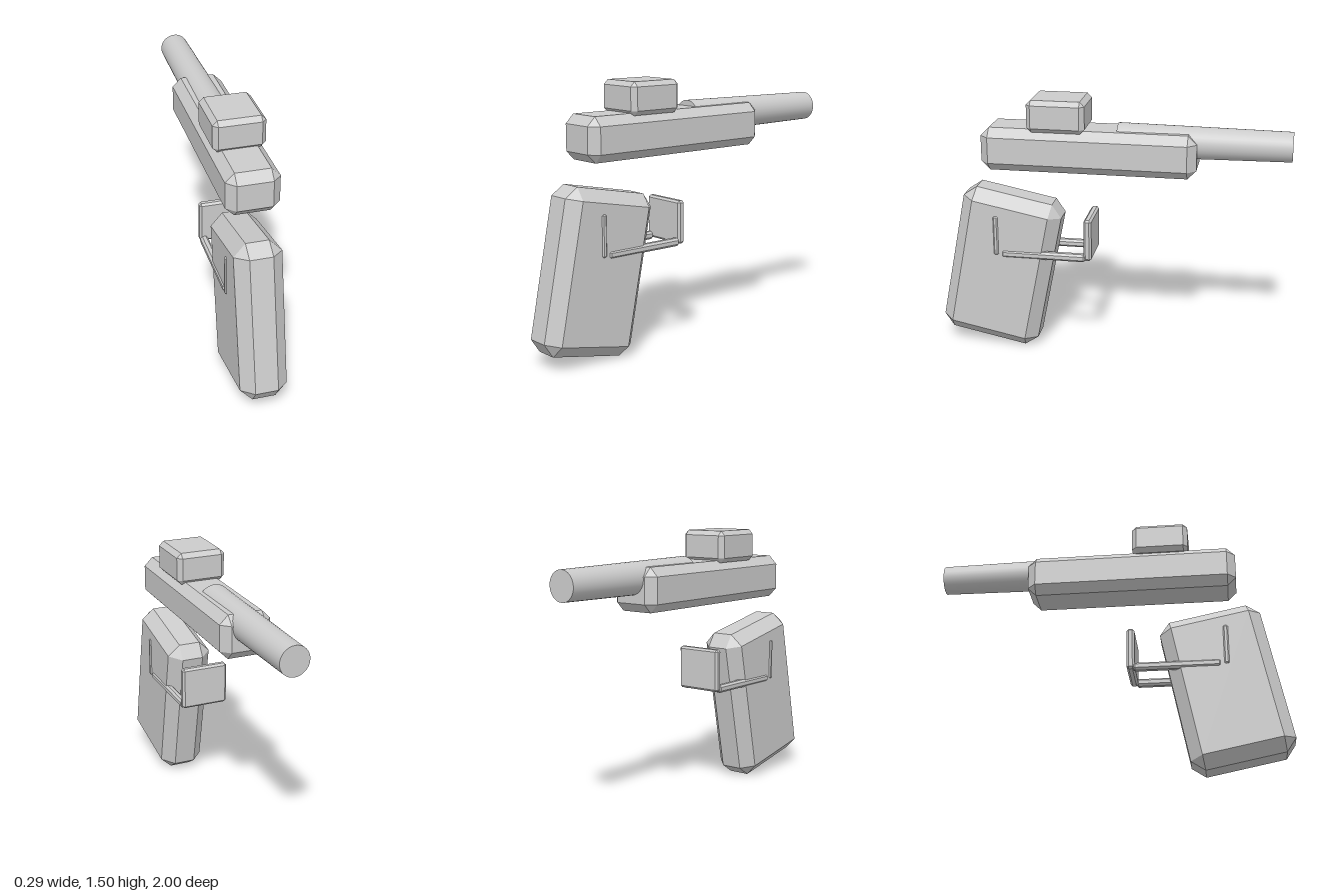
import * as THREE from 'three';
import { ConvexGeometry } from 'three/addons/geometries/ConvexGeometry.js';

const material = new THREE.MeshStandardMaterial({ color: 0xcccccc, flatShading: true });
const smooth = new THREE.MeshStandardMaterial({ color: 0xcccccc });

// Box with every edge cut by a flat chamfer c; each corner becomes a triangle
function chamferBox(w, h, d, c) {
  const points = [];
  for (const x of [-1, 1]) for (const y of [-1, 1]) for (const z of [-1, 1]) {
    for (const axis of [0, 1, 2]) {
      const p = [w / 2, h / 2, d / 2].map((half, i) => (i === axis ? half : half - c));
      points.push(new THREE.Vector3(x * p[0], y * p[1], z * p[2]));
    }
  }
  return new ConvexGeometry(points);
}

export function createModel() {
  const group = new THREE.Group();
  const add = (name, geometry, x, y, z, mat = material) => {
    const mesh = new THREE.Mesh(geometry, mat);
    mesh.name = name;
    mesh.position.set(x, y, z);
    group.add(mesh);
    return mesh;
  };

  // Long body with the sight block on top
  add('body', chamferBox(0.29, 0.245, 1.21, 0.049), 0, 1.22, 0.12);
  add('sightBlock', chamferBox(0.285, 0.18, 0.325, 0.026), 0, 1.42, 0.293);

  // Barrel, tapering slightly towards the muzzle at the back
  const barrel = add('barrel', new THREE.CylinderGeometry(0.095, 0.083, 0.96, 32), 0, 1.28, -0.52, smooth);
  barrel.rotation.x = Math.PI / 2;

  // Leaning grip
  const grip = add('grip', chamferBox(0.26, 0.905, 0.58, 0.067), 0, 0.493, 0.64);
  grip.rotation.x = -0.197;

  // Guard: a plate through the grip, an outer plate and two side rails
  add('guardInnerPlate', chamferBox(0.274, 0.235, 0.03, 0.008), 0, 0.712, 0.65);
  add('guardOuterPlate', chamferBox(0.274, 0.245, 0.045, 0.012), 0, 0.713, 0.117);
  for (const side of [-1, 1]) {
    add(side > 0 ? 'guardRailLeft' : 'guardRailRight',
      chamferBox(0.045, 0.045, 0.49, 0.012), side * 0.1145, 0.603, 0.375);
  }
  return group;
}
